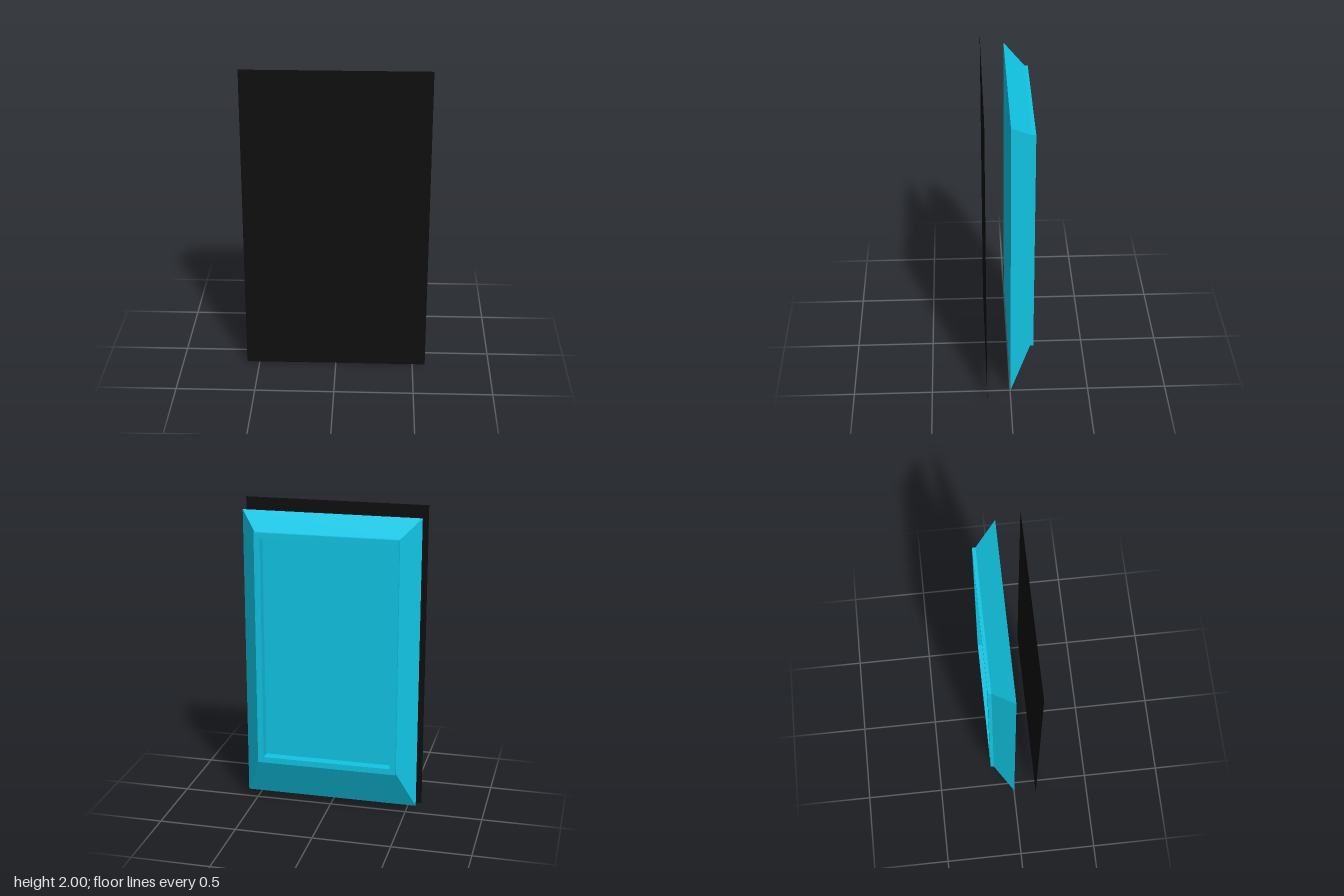
import * as THREE from 'three';

const cyan = new THREE.MeshStandardMaterial({ color: 0x11c5e4 });
cyan.name = 'cyan casing';
const black = new THREE.MeshStandardMaterial({ color: 0x0e0e0e, side: THREE.DoubleSide });
black.name = 'black panel';

// Corners of a rectangular section at depth z, counter-clockwise from the front
const section = (x0, x1, y0, y1, z) => [[x0, y0, z], [x1, y0, z], [x1, y1, z], [x0, y1, z]];

// Flat-faced skin joining rectangular sections from the front cap to the last cap
function loft(sections) {
  const points = [];
  const quad = (a, b, c, d) => points.push(...a, ...b, ...c, ...a, ...c, ...d);
  quad(...sections[0]);
  for (let s = 0; s < sections.length - 1; s++) {
    const a = sections[s], b = sections[s + 1];
    for (let i = 0; i < 4; i++) {
      const j = (i + 1) % 4;
      quad(a[i], b[i], b[j], a[j]);
    }
  }
  quad(...sections[sections.length - 1].slice().reverse());
  const geometry = new THREE.BufferGeometry();
  geometry.setAttribute('position', new THREE.Float32BufferAttribute(points, 3));
  geometry.computeVertexNormals();
  return geometry;
}

export function createModel() {
  const model = new THREE.Group();
  model.name = 'wallPanel';

  // Thin front panel
  const panel = new THREE.Mesh(new THREE.PlaneGeometry(1.164, 2), black);
  panel.name = 'frontPanel';
  panel.position.set(0, 1, 0.149);
  model.add(panel);

  // Casing: tapered sides, straight collar, rim and sunken back
  const rim = 0.038;
  const [x0, x1, y0, y1] = [-0.456, 0.448, 0.32, 1.843];
  const inner = [x0 + rim, x1 - rim, y0 + rim, y1 - rim];
  const casing = new THREE.Mesh(loft([
    section(-0.568, 0.56, 0.05, 1.95, 0),
    section(x0, x1, y0, y1, -0.128),
    section(x0, x1, y0, y1, -0.149),
    section(...inner, -0.149),
    section(...inner, -0.088),
  ]), cyan);
  casing.name = 'rearCasing';
  model.add(casing);

  return model;
}
